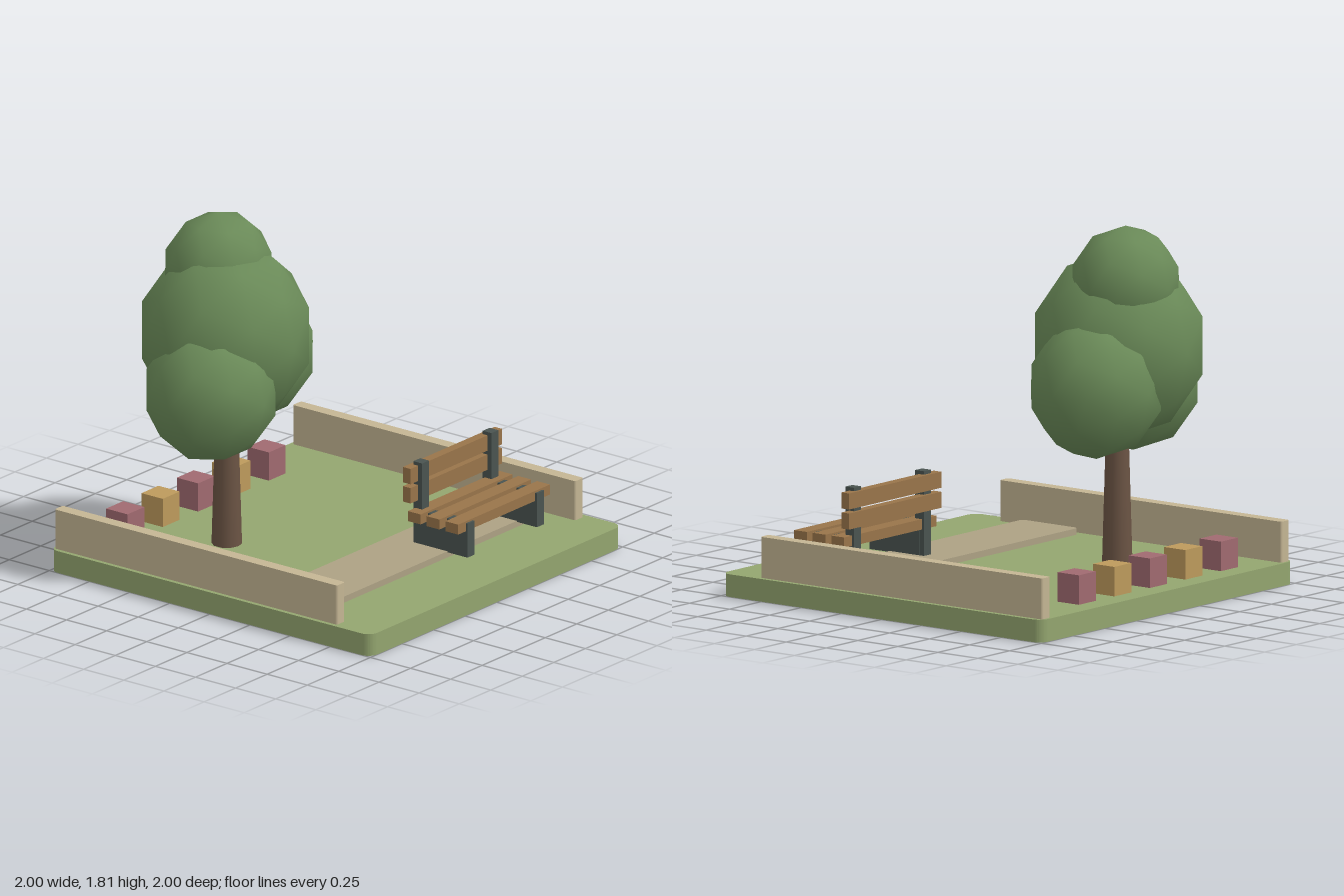
import * as THREE from 'three';

const mat = (color) => new THREE.MeshStandardMaterial({ color });
const grass = mat(0x93a56f), stone = mat(0xc4b593), paving = mat(0xada184);
const wood = mat(0x99754a), iron = mat(0x4a5450);
const rose = mat(0xa06a70), ochre = mat(0xbd9a5c);
const leaf = mat(0x6a8a58), bark = mat(0x6b5444);

function add(parent, name, geometry, material, x = 0, y = 0, z = 0) {
  const mesh = new THREE.Mesh(geometry, material);
  mesh.name = name;
  mesh.position.set(x, y, z);
  parent.add(mesh);
  return mesh;
}

// Box given by its minimum and maximum on each axis
function box(parent, name, material, [x0, x1], [y0, y1], [z0, z1]) {
  return add(parent, name, new THREE.BoxGeometry(x1 - x0, y1 - y0, z1 - z0), material,
    (x0 + x1) / 2, (y0 + y1) / 2, (z0 + z1) / 2);
}

// Flat slab with rounded vertical corners
function slab(parent, name, material, [x0, x1], [y0, y1], [z0, z1], r) {
  const w = (x1 - x0) / 2, d = (z1 - z0) / 2;
  const s = new THREE.Shape();
  s.absarc(w - r, d - r, r, 0, Math.PI / 2);
  s.absarc(r - w, d - r, r, Math.PI / 2, Math.PI);
  s.absarc(r - w, r - d, r, Math.PI, Math.PI * 1.5);
  s.absarc(w - r, r - d, r, Math.PI * 1.5, Math.PI * 2);
  s.closePath();
  const g = new THREE.ExtrudeGeometry(s, { depth: y1 - y0, bevelEnabled: false, curveSegments: 5 });
  g.rotateX(-Math.PI / 2);
  return add(parent, name, g, material, (x0 + x1) / 2, y0, (z0 + z1) / 2);
}

function createTree() {
  const tree = new THREE.Group();
  tree.name = 'tree';
  add(tree, 'trunk', new THREE.CylinderGeometry(0.052, 0.075, 0.8, 10), bark, -0.395, 0.51, -0.37);
  // Crown: name, centre, radii
  const crown = [
    ['mainFoliage', [-0.4, 1.21, -0.375], [0.44, 0.475, 0.43]],
    ['topFoliage', [-0.365, 1.52, -0.445], [0.285, 0.293, 0.27]],
    ['rightFoliage', [-0.63, 0.988, -0.283], [0.338, 0.352, 0.333]],
    ['leftFoliage', [-0.15, 1.037, -0.433], [0.348, 0.357, 0.33]],
  ];
  for (const [name, centre, radii] of crown) {
    add(tree, name, new THREE.IcosahedronGeometry(1, 1), leaf, ...centre).scale.set(...radii);
  }
  return tree;
}

function createBench() {
  const bench = new THREE.Group();
  bench.name = 'bench';
  const span = [0.05, 0.777];
  // Side frames: low leg panel and back post
  for (const x of [0.11, 0.66]) {
    box(bench, 'legPanel', iron, [x, x + 0.056], [0.14, 0.317], [0.42, 0.733]);
    box(bench, 'backPost', iron, [x, x + 0.055], [0.14, 0.567], [0.395, 0.45]);
  }
  // Seat and back slats
  for (const z of [0.408, 0.525, 0.642]) box(bench, 'seatSlat', wood, span, [0.275, 0.327], [z, z + 0.08]);
  for (const y of [0.37, 0.47]) box(bench, 'backSlat', wood, span, [y, y + 0.08], [0.377, 0.425]);
  return bench;
}

export function createModel() {
  const garden = new THREE.Group();
  garden.name = 'garden';

  slab(garden, 'lawn', grass, [-1, 1], [0, 0.113], [-1, 1], 0.055);
  slab(garden, 'path', paving, [-0.88, 0.88], [0.1, 0.145], [0.257, 0.608], 0.025);

  // Low walls along both sides
  for (const side of [-1, 1]) {
    slab(garden, 'sideWall', stone, side < 0 ? [-0.978, -0.913] : [0.91, 0.975],
      [0.1, 0.317], [-0.985, 0.775], 0.012);
  }

  // Row of planter cubes along the back
  for (let i = 0; i < 5; i++) {
    const x = -0.625 + i * 0.28;
    box(garden, 'planterCube', i % 2 ? ochre : rose, [x - 0.067, x + 0.067], [0.11, 0.26], [-0.888, -0.755]);
  }

  garden.add(createTree(), createBench());
  return garden;
}
